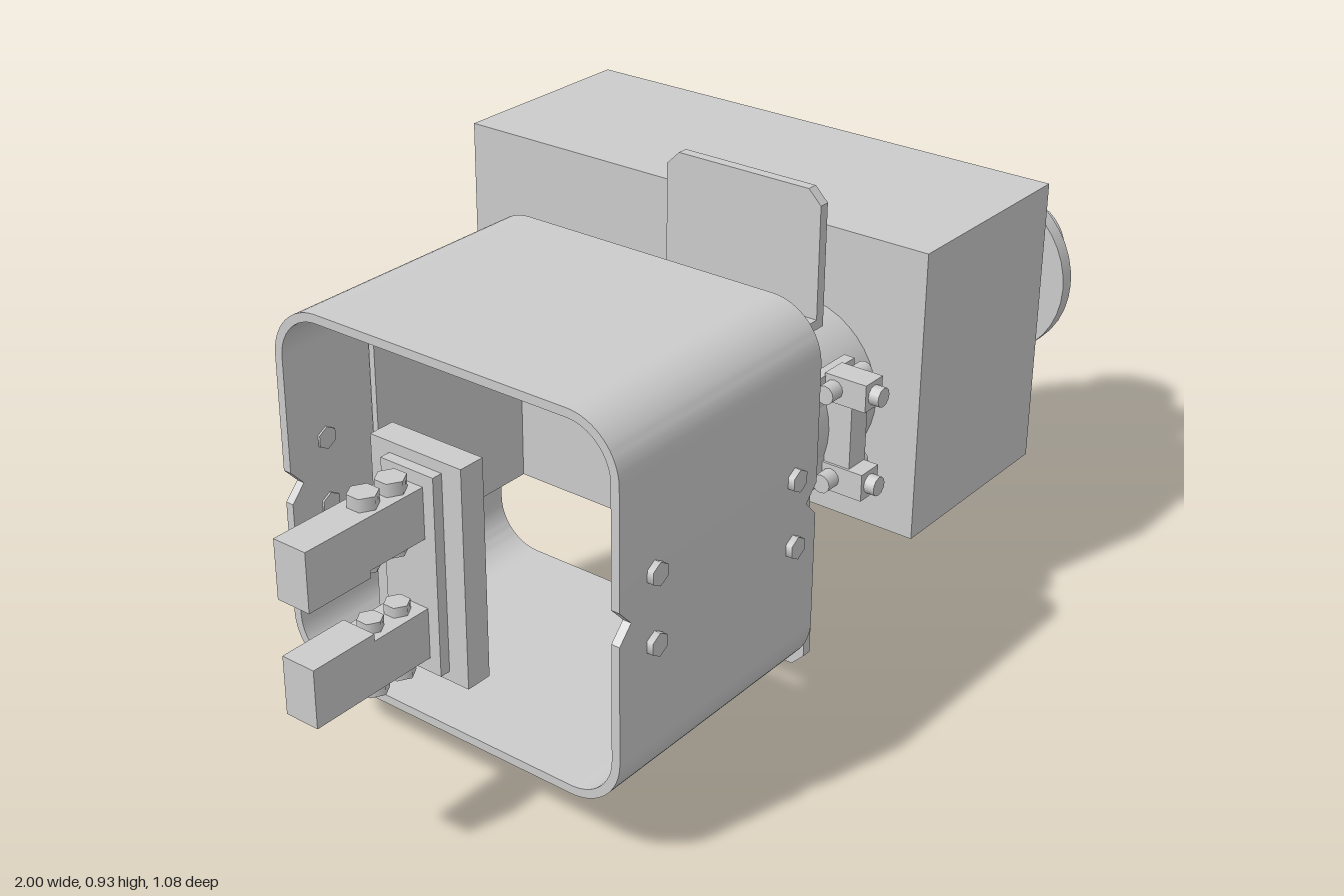
import * as THREE from 'three';
import { toCreasedNormals } from 'three/addons/utils/BufferGeometryUtils.js';

const material = new THREE.MeshStandardMaterial({ color: 0xcccccc });
const AXIS_Y = 0.467, AXIS_Z = 0.25;

export function createModel() {
  const model = new THREE.Group();
  const add = (name, geometry, parent = model) => {
    const mesh = new THREE.Mesh(geometry, material);
    mesh.name = name;
    parent.add(mesh);
    return mesh;
  };
  // Box given by its extents along each axis
  const box = (name, x0, x1, y0, y1, z0, z1) => {
    const mesh = add(name, new THREE.BoxGeometry(x1 - x0, y1 - y0, z1 - z0));
    mesh.position.set((x0 + x1) / 2, (y0 + y1) / 2, (z0 + z1) / 2);
    return mesh;
  };
  // Cylinder running between two points
  const rod = (name, a, b, r, sides = 32) => {
    const from = new THREE.Vector3(...a), to = new THREE.Vector3(...b);
    const dir = to.clone().sub(from);
    const mesh = add(name, new THREE.CylinderGeometry(r, r, dir.length(), sides));
    mesh.position.copy(from).add(to).multiplyScalar(0.5);
    mesh.quaternion.setFromUnitVectors(new THREE.Vector3(0, 1, 0), dir.normalize());
    return mesh;
  };
  // Outline in (-z, y), extruded along x
  const alongX = (shape, x0, x1) => {
    const g = new THREE.ExtrudeGeometry(shape, { depth: x1 - x0, bevelEnabled: false, curveSegments: 8 });
    g.rotateY(Math.PI / 2);
    g.translate(x0, 0, 0);
    return toCreasedNormals(g, 0.5);
  };

  // Open rounded housing: upper and lower channels
  const X0 = -0.69, X1 = -0.17, HALF_Z = 0.358, HALF_Y = 0.344, MID_Z = 0.168;
  const WALL = 0.016, R = 0.1, SEAM = 0.05;
  const channel = new THREE.Shape();
  channel.moveTo(-HALF_Z, SEAM);
  channel.lineTo(-HALF_Z + WALL, SEAM);
  channel.lineTo(-HALF_Z + WALL, HALF_Y - R);
  channel.absarc(-HALF_Z + R, HALF_Y - R, R - WALL, Math.PI, Math.PI / 2, true);
  channel.absarc(HALF_Z - R, HALF_Y - R, R - WALL, Math.PI / 2, 0, true);
  channel.lineTo(HALF_Z - WALL, SEAM);
  channel.lineTo(HALF_Z, SEAM);
  channel.absarc(HALF_Z - R, HALF_Y - R, R, 0, Math.PI / 2, false);
  channel.absarc(-HALF_Z + R, HALF_Y - R, R, Math.PI / 2, Math.PI, false);
  const channelGeometry = alongX(channel, X0, X1);
  for (const [name, turn] of [['housingTop', 0], ['housingBottom', Math.PI]]) {
    const half = add(name, channelGeometry);
    half.position.set(0, AXIS_Y, MID_Z);
    half.rotation.x = turn;
  }

  // Notched side bands and their screws
  const band = new THREE.Shape([
    [X0, -SEAM], [X1, -SEAM], [X1, -0.03], [X1 - 0.028, 0], [X1, 0.03], [X1, SEAM],
    [X0, SEAM], [X0, 0.03], [X0 + 0.028, 0], [X0, -0.03],
  ].map(p => new THREE.Vector2(...p)));
  const bandGeometry = new THREE.ExtrudeGeometry(band, { depth: WALL, bevelEnabled: false });
  for (const [z, out] of [[MID_Z + HALF_Z, 1], [MID_Z - HALF_Z, -1]]) {
    add('housingSideBand', bandGeometry).position.set(0, AXIS_Y, out > 0 ? z - WALL : z);
    for (const x of [-0.605, -0.235]) for (const dy of [-0.063, 0.063]) {
      rod('housingScrew', [x, AXIS_Y + dy, z - out * 0.02], [x, AXIS_Y + dy, z + out * 0.012], 0.021, 6);
    }
  }

  // Terminal block and its two contact jaws
  box('terminalBlock', -0.73, -0.68, 0.267, 0.665, 0.06, 0.25);
  box('terminalPlate', -0.75, -0.73, 0.285, 0.645, 0.1, 0.21);
  for (const s of [1, -1]) {
    const jaw = new THREE.Shape([
      [-1, 0.05], [-0.87, 0.05], [-0.87, 0.063], [-0.745, 0.063], [-0.745, 0.155], [-1, 0.155],
    ].map(([x, y]) => new THREE.Vector2(x, y)));
    const mesh = add('contactJaw', new THREE.ExtrudeGeometry(jaw, { depth: 0.066, bevelEnabled: false }));
    mesh.position.set(0, AXIS_Y, s > 0 ? 0.122 : 0.188);
    mesh.rotation.x = s > 0 ? 0 : Math.PI;
    for (const x of [-0.845, -0.785]) {
      rod('jawBolt', [x, AXIS_Y + s * 0.15, 0.155], [x, AXIS_Y + s * 0.178, 0.155], 0.026, 6);
      rod('jawNut', [x, AXIS_Y + s * 0.066, 0.155], [x, AXIS_Y + s * 0.045, 0.155], 0.022, 6);
    }
  }

  // Inner bracket joining the housing to the mounting bracket
  box('innerBackPlate', -0.5, -0.115, 0.26, 0.68, -0.168, -0.156);
  box('innerCrossPlate', -0.127, -0.115, 0.26, 0.68, -0.168, 0.21);
  box('innerFrontPlate', -0.5, -0.08, 0.26, 0.68, 0.38, 0.42);

  // Hat shaped mounting bracket with chamfered ears
  box('bracketWeb', -0.097, -0.08, 0.235, 0.7, 0.088, 0.405);
  box('bracketBlock', -0.075, 0.004, 0.262, 0.655, 0.09, 0.4);
  const ear = new THREE.Shape([
    [-0.41, 0.215], [-0.09, 0.215], [-0.09, 0.44], [-0.115, 0.465], [-0.385, 0.465], [-0.41, 0.44],
  ].map(p => new THREE.Vector2(...p)));
  const earGeometry = alongX(ear, -0.013, 0.007);
  for (const s of [1, -1]) {
    const mesh = add('mountingEar', earGeometry);
    mesh.position.set(0, AXIS_Y, s > 0 ? 0 : 0.5);
    mesh.rotation.x = s > 0 ? 0 : Math.PI;
    const y = AXIS_Y + s * 0.224;
    box('bracketShelf', -0.097, 0.007, y - 0.009, y + 0.009, 0.09, 0.41);
  }

  // Motor neck, gear case and stepped output shaft
  const shaft = (name, x0, x1, r) => rod(name, [x0, AXIS_Y, AXIS_Z], [x1, AXIS_Y, AXIS_Z], r, 40);
  shaft('neck', 0, 0.2, 0.16);
  box('gearCase', 0.19, 0.608, 0.213, 0.777, -0.545, 0.5);
  shaft('shaftCollar', 0.6, 0.675, 0.145);
  shaft('shaftSleeve', 0.67, 0.835, 0.12);
  shaft('shaftFlange', 0.83, 0.862, 0.185);
  shaft('shaftEnd', 0.86, 1, 0.095);

  // Elbow fittings above and below the neck
  for (const s of [1, -1]) {
    const at = (dy, z) => [0.06, AXIS_Y + s * dy, z];
    rod('fittingBase', at(0.13, 0.25), at(0.185, 0.25), 0.022, 12);
    rod('fittingNut', at(0.185, 0.25), at(0.225, 0.25), 0.036, 6);
    const path = new THREE.CatmullRomCurve3([[0.215, 0.25], [0.25, 0.24], [0.265, 0.21], [0.268, 0.17]]
      .map(p => new THREE.Vector3(...at(...p))));
    add('fittingElbow', new THREE.TubeGeometry(path, 10, 0.022, 12));
    rod('fittingCollar', at(0.268, 0.19), at(0.268, 0.165), 0.032, 12);
    rod('fittingTip', at(0.268, 0.17), at(0.268, 0.132), 0.025, 12);
  }

  // Connector on the front of the neck
  box('connectorPlate', 0.01, 0.125, 0.36, 0.575, 0.38, 0.402);
  box('connectorBody', 0.04, 0.09, 0.36, 0.575, 0.4, 0.455);
  for (const s of [1, -1]) {
    const y = AXIS_Y + s * 0.087;
    box('connectorClamp', 0.035, 0.087, y - 0.026, y + 0.026, 0.4, 0.485);
    rod('connectorScrew', [0.061, y, 0.48], [0.061, y, 0.505], 0.018, 12);
    rod('connectorPin', [0.005, y, 0.42], [0.13, y, 0.42], 0.018, 12);
  }
  return model;
}
